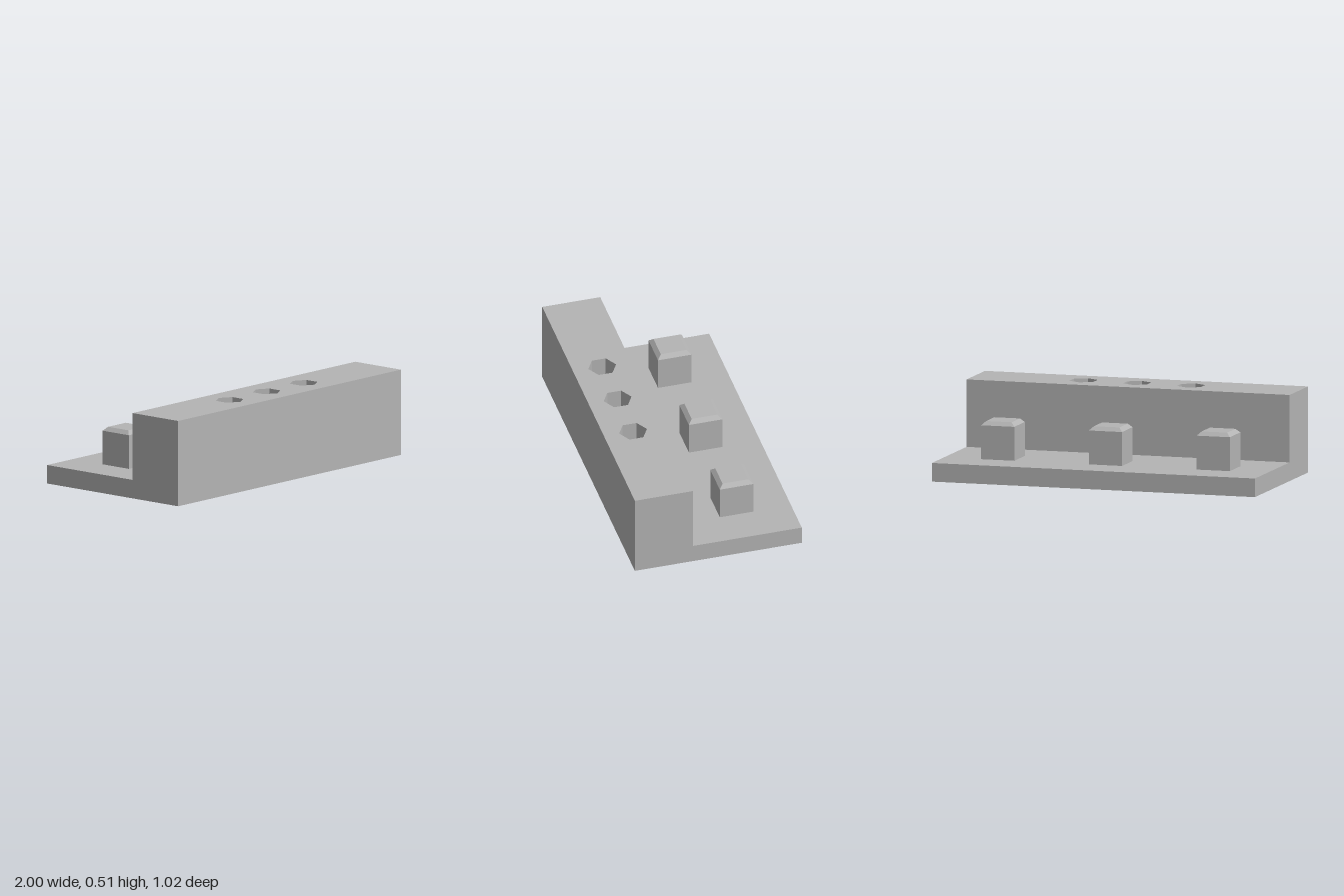
import * as THREE from 'three';

const LENGTH = 2, HALF_DEPTH = 0.511, STEP_Z = 0.156, PLATE_H = 0.111, BLOCK_H = 0.513;
const HOLE_R = 0.085, HOLE_Z = 0.333, HOLE_X = [-0.333, 0, 0.333];
const PEG_Z = -0.177, PEG_X = [-0.667, 0, 0.667];

// Flat-shaded turned form with a few sides
function facetedLathe(points, sides, start) {
  const profile = points.map(([r, y]) => new THREE.Vector2(r, y));
  const geometry = new THREE.LatheGeometry(profile, sides, start).toNonIndexed();
  geometry.computeVertexNormals();
  return geometry;
}

// L-shaped solid, left open on top of the tall part
function bodyGeometry() {
  const outline = new THREE.Shape([
    [-HALF_DEPTH, 0], [HALF_DEPTH, 0], [HALF_DEPTH, PLATE_H],
    [-STEP_Z, PLATE_H], [-STEP_Z, BLOCK_H], [-HALF_DEPTH, BLOCK_H],
  ].map(([x, y]) => new THREE.Vector2(x, y)));
  const solid = new THREE.ExtrudeGeometry(outline, { depth: LENGTH, bevelEnabled: false });
  solid.translate(0, 0, -LENGTH / 2).rotateY(Math.PI / 2);
  const p = solid.attributes.position;
  const kept = [];
  for (let i = 0; i < p.count; i += 3) {
    const isTop = [0, 1, 2].every((k) => p.getY(i + k) > BLOCK_H - 1e-4);
    if (!isTop) for (let k = 0; k < 3; k++) kept.push(p.getX(i + k), p.getY(i + k), p.getZ(i + k));
  }
  const geometry = new THREE.BufferGeometry();
  geometry.setAttribute('position', new THREE.Float32BufferAttribute(kept, 3));
  geometry.computeVertexNormals();
  return geometry;
}

// Top face of the tall part with hexagonal openings
function topGeometry() {
  const h = LENGTH / 2;
  const face = new THREE.Shape([
    new THREE.Vector2(-h, -HALF_DEPTH), new THREE.Vector2(h, -HALF_DEPTH),
    new THREE.Vector2(h, -STEP_Z), new THREE.Vector2(-h, -STEP_Z),
  ]);
  for (const x of HOLE_X) {
    const corners = [];
    for (let i = 0; i < 6; i++) {
      const a = (i * Math.PI) / 3;
      corners.push(new THREE.Vector2(x + HOLE_R * Math.sin(a), -HOLE_Z + HOLE_R * Math.cos(a)));
    }
    face.holes.push(new THREE.Path(corners));
  }
  return new THREE.ShapeGeometry(face).rotateX(-Math.PI / 2).translate(0, BLOCK_H, 0);
}

export function createModel() {
  const group = new THREE.Group();
  const grey = new THREE.MeshStandardMaterial({ color: 0xb4b4b4 });
  grey.name = 'grey';

  const add = (name, geometry, x = 0, y = 0, z = 0) => {
    const mesh = new THREE.Mesh(geometry, grey);
    mesh.name = name;
    mesh.position.set(x, y, z);
    group.add(mesh);
  };

  add('body', bodyGeometry());
  add('blockTop', topGeometry());

  // Hexagonal sockets, facing inward
  const socket = facetedLathe([[HOLE_R, BLOCK_H], [HOLE_R, PLATE_H], [0, PLATE_H]], 6, 0);
  HOLE_X.forEach((x) => add('hexSocket', socket, x, 0, HOLE_Z));

  // Square pegs with chamfered tops
  const half = 0.1025 * Math.SQRT2, topHalf = 0.079 * Math.SQRT2;
  const peg = facetedLathe([[half, 0], [half, 0.202], [topHalf, 0.225], [0, 0.225]], 4, Math.PI / 4);
  PEG_X.forEach((x) => add('peg', peg, x, PLATE_H, PEG_Z));

  return group;
}
